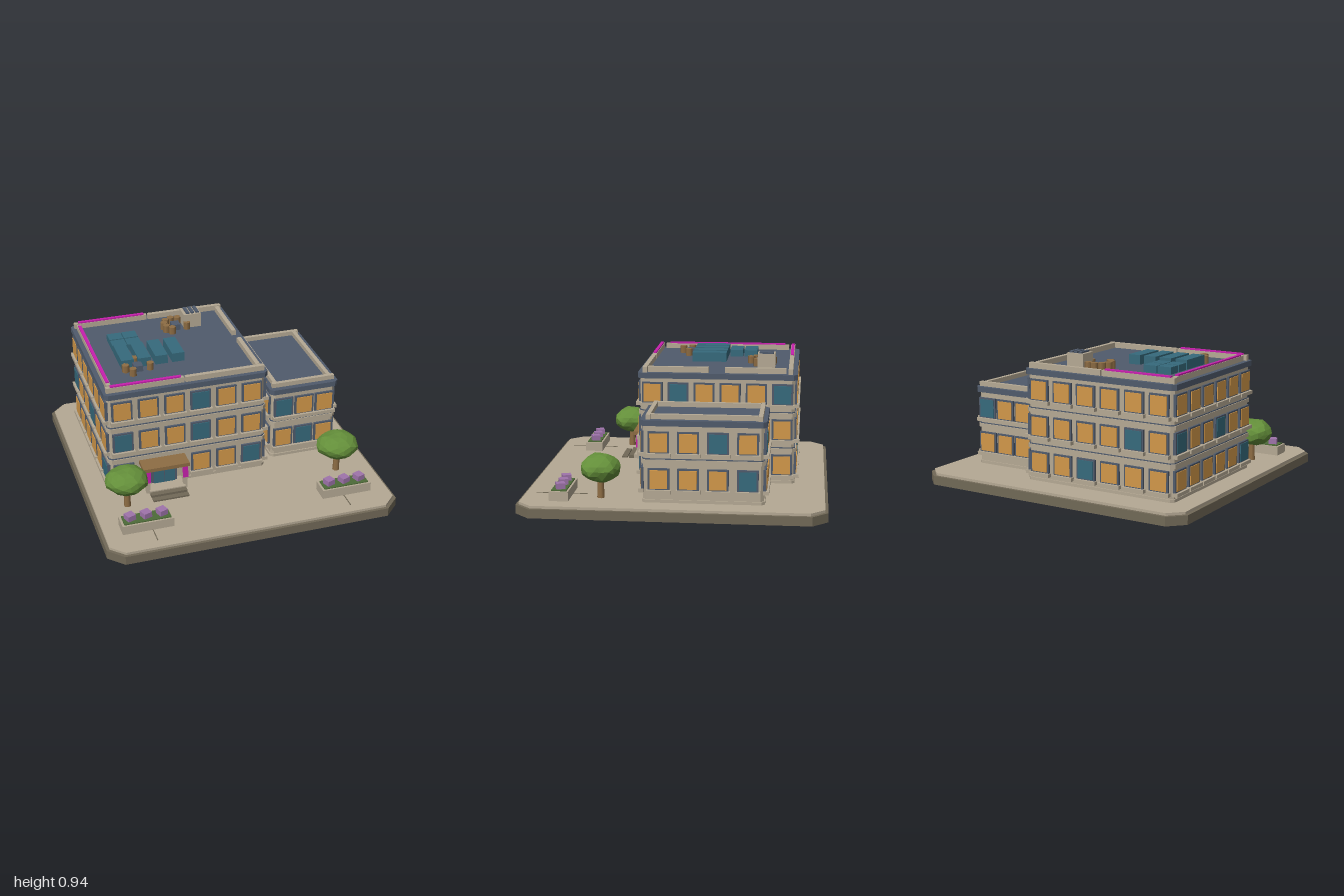
import * as THREE from 'three';

const mat = (name, color, extra = {}) => Object.assign(new THREE.MeshStandardMaterial({ color, ...extra }), { name });

export function createModel() {
  const stone = mat('stone', 0xb5a994), base = mat('dark stone', 0x716957), slate = mat('slate', 0x505b6c);
  const glow = mat('lit glass', 0xd2984a), teal = mat('teal glass', 0x366a7c), pink = mat('magenta trim', 0xc81fae);
  const wood = mat('wood', 0x8e6d44), leaf = mat('foliage', 0x648f3a), hedge = mat('hedge', 0x4d6b38);
  const flower = mat('blossom', 0x9f74ab);
  leaf.flatShading = true;

  const model = new THREE.Group();
  model.name = 'cornerBuilding';

  function add(parent, name, geo, m, x = 0, y = 0, z = 0) {
    const mesh = new THREE.Mesh(geo, m);
    mesh.name = name;
    mesh.position.set(x, y, z);
    parent.add(mesh);
    return mesh;
  }
  // Box given by its extents
  const box = (parent, name, m, x0, x1, y0, y1, z0, z1) =>
    add(parent, name, new THREE.BoxGeometry(x1 - x0, y1 - y0, z1 - z0), m, (x0 + x1) / 2, (y0 + y1) / 2, (z0 + z1) / 2);
  // Upright block with chamfered vertical corners
  function slab(parent, name, m, x0, x1, y0, y1, z0, z1, c) {
    const s = new THREE.Shape([[x0 + c, -z1], [x1 - c, -z1], [x1, -z1 + c], [x1, -z0 - c], [x1 - c, -z0], [x0 + c, -z0], [x0, -z0 - c], [x0, -z1 + c]]
      .map(p => new THREE.Vector2(...p)));
    const g = new THREE.ExtrudeGeometry(s, { depth: y1 - y0, bevelEnabled: false });
    g.rotateX(-Math.PI / 2);
    return add(parent, name, g, m, 0, y0, 0);
  }
  const group = (name, parent = model) => {
    const g = new THREE.Group();
    g.name = name;
    parent.add(g);
    return g;
  };

  // Plaza
  slab(model, 'plinth', base, -1, 1, 0, 0.06, -1, 1, 0.1);
  slab(model, 'paving', stone, -0.98, 0.98, 0.06, 0.077, -0.98, 0.98, 0.09);
  for (const s of [-1, 1]) box(model, 'pavingJoint', base, s * 0.665 - 0.003, s * 0.665 + 0.003, 0.076, 0.08, 0.57, 0.91);

  // One window, facing +z at the group's origin
  function windowUnit(parent, w, m) {
    const g = group('window', parent);
    box(g, 'frame', slate, -w / 2 - 0.013, w / 2 + 0.013, -0.072, 0.072, -0.005, 0.014);
    box(g, 'glass', m, -w / 2, w / 2, -0.061, 0.061, 0.012, 0.019);
    box(g, 'sill', stone, -w / 2 - 0.022, w / 2 + 0.022, -0.092, -0.068, -0.005, 0.032);
    return g;
  }
  // Rows of windows on one wall; T = teal, O = lit, . = none; rows run bottom up, left to right seen from outside
  function facade(parent, x, z, angle, step, w, floors, rows) {
    const wall = group('facade', parent);
    wall.position.set(x, 0, z);
    wall.rotation.y = angle;
    rows.forEach((row, f) => [...row].forEach((k, i) => {
      if (k === '.') return;
      windowUnit(wall, w, k === 'T' ? teal : glow).position.set((i - (row.length - 1) / 2) * step, floors[f], 0);
    }));
  }
  // Wing with walls, floor bands, cornice, roof and windows
  function wing(name, x0, x1, z0, z1, top, bands, floors, stepX, stepZ, w, faces) {
    const g = group(name);
    const cx = (x0 + x1) / 2, cz = (z0 + z1) / 2;
    slab(g, 'walls', stone, x0, x1, 0.077, top - 0.035, z0, z1, 0.02);
    for (const y of bands) {
      slab(g, 'floorBand', stone, x0 - 0.012, x1 + 0.012, y, y + 0.026, z0 - 0.012, z1 + 0.012, 0.025);
      slab(g, 'bandJoint', slate, x0 - 0.006, x1 + 0.006, y + 0.026, y + 0.032, z0 - 0.006, z1 + 0.006, 0.022);
    }
    slab(g, 'foot', stone, x0 - 0.008, x1 + 0.008, 0.077, 0.097, z0 - 0.008, z1 + 0.008, 0.022);
    slab(g, 'cornice', slate, x0 - 0.02, x1 + 0.02, top - 0.037, top, z0 - 0.017, z1 + 0.017, 0.025);
    facade(g, cx, z1, 0, stepX, w, floors, faces.front);
    facade(g, x1, cz, Math.PI / 2, stepZ, w, floors, faces.right);
    facade(g, cx, z0, Math.PI, stepX, w, floors, faces.back);
    facade(g, x0, cz, -Math.PI / 2, stepZ, w, floors, faces.left);
    return g;
  }

  const main = wing('mainWing', -0.82, 0.27, -0.77, 0.27, 0.823, [0.295, 0.537], [0.205, 0.447, 0.687], 0.18, 0.175, 0.115, {
    front: ['O..OOT', 'TOOTOO', 'OOOTOO'],
    right: ['OOTOOO', 'OOOOTO', 'OTOOOT'],
    back: ['OOTOOO', 'OOOOTO', 'OOOOOO'],
    left: ['OOOOOT', 'TOOTOO', 'OOOOOO'],
  });
  const annex = wing('sideWing', 0.36, 0.82, -0.59, 0.185, 0.618, [0.335], [0.232, 0.472], 0.15, 0.19, 0.112, {
    front: ['OTO', 'TOO'],
    right: ['OOOT', 'OOTO'],
    back: ['OOO', 'TOO'],
    left: ['OOTO', 'OOOO'],
  });

  // Parapets
  for (const z of [-0.74, 0.24]) {
    box(main, 'parapet', stone, -0.82, -0.29, 0.82, 0.86, z - 0.015, z + 0.015);
    box(main, 'parapet', stone, -0.28, 0.27, 0.82, 0.86, z - 0.015, z + 0.015);
    box(main, 'parapetLight', pink, -0.79, -0.31, 0.858, 0.87, z - 0.011, z + 0.011);
  }
  box(main, 'parapet', stone, -0.807, -0.777, 0.82, 0.86, -0.71, 0.21);
  box(main, 'parapetLight', pink, -0.803, -0.781, 0.858, 0.87, -0.68, 0.18);
  box(main, 'parapet', stone, 0.22, 0.25, 0.82, 0.86, -0.71, -0.3);
  box(main, 'parapet', stone, 0.22, 0.25, 0.82, 0.86, -0.19, 0.22);
  for (const z of [-0.565, 0.15]) box(annex, 'parapet', stone, 0.365, 0.82, 0.615, 0.65, z - 0.014, z + 0.014);
  for (const x of [0.39, 0.785]) box(annex, 'parapet', stone, x - 0.014, x + 0.014, 0.615, 0.65, -0.55, 0.135);

  // Roof panels
  const roof = group('roofEquipment');
  for (const x of [-0.592, -0.488]) for (const z of [-0.442, -0.338])
    box(roof, 'skylight', teal, x - 0.049, x + 0.049, 0.82, 0.87, z - 0.046, z + 0.046);
  for (let i = 0; i < 4; i++) {
    const x = -0.6 + i * 0.118;
    box(roof, 'roofPanel', teal, x - 0.043, x + 0.043, 0.82, 0.887, -0.28, -0.04);
  }
  // Vent with grille
  box(roof, 'vent', stone, -0.07, 0.055, 0.82, 0.925, -0.63, -0.51);
  for (let i = 0; i < 3; i++) box(roof, 'ventSlot', slate, -0.049 + i * 0.035, -0.026 + i * 0.035, 0.92, 0.936, -0.618, -0.522);
  // Tables ringed by stools, angles in degrees seen from above
  function seating(x, z, r, angles) {
    const g = group('roofSeating', roof);
    box(g, 'table', slate, x - 0.03, x + 0.03, 0.82, 0.865, z - 0.035, z + 0.035);
    for (const a of angles) {
      const t = a * Math.PI / 180;
      const stool = add(g, 'stool', new THREE.CylinderGeometry(0.026, 0.026, 0.055, 6), wood, x + r * Math.cos(t), 0.847, z + r * Math.sin(t));
      stool.rotation.y = -t;
    }
  }
  seating(-0.13, -0.53, 0.082, [20, 120, 155, 190, 225, 260, 295]);
  seating(-0.54, -0.01, 0.085, [12, 125, 175, 270]);

  // Entrance
  const entry = group('entrance');
  box(entry, 'doorFrame', slate, -0.545, -0.365, 0.085, 0.255, 0.26, 0.305);
  box(entry, 'door', teal, -0.528, -0.382, 0.095, 0.245, 0.3, 0.312);
  box(entry, 'doorSplit', slate, -0.457, -0.453, 0.095, 0.245, 0.311, 0.314);
  box(entry, 'canopy', wood, -0.62, -0.3, 0.257, 0.283, 0.265, 0.4);
  box(entry, 'landing', stone, -0.58, -0.33, 0.077, 0.105, 0.27, 0.4);
  box(entry, 'step', base, -0.58, -0.33, 0.077, 0.097, 0.4, 0.44);
  box(entry, 'step', base, -0.58, -0.33, 0.077, 0.088, 0.45, 0.49);
  for (const x of [-0.585, -0.325]) {
    box(entry, 'post', stone, x - 0.014, x + 0.014, 0.077, 0.257, 0.35, 0.378);
    box(entry, 'banner', pink, x - 0.018, x + 0.018, 0.16, 0.255, 0.372, 0.382);
  }

  // Faceted crown, roughened by a smooth rule
  const crown = new THREE.IcosahedronGeometry(1, 2);
  const p = crown.attributes.position, v = new THREE.Vector3();
  for (let i = 0; i < p.count; i++) {
    v.fromBufferAttribute(p, i);
    const k = 0.96 + 0.07 * Math.sin(v.x * 5 + v.y * 3 + 1) * Math.cos(v.z * 5 - v.y * 2);
    p.setXYZ(i, v.x * k * 0.147, v.y * k * 0.097, v.z * k * 0.135);
  }
  crown.computeVertexNormals();
  for (const x of [-0.755, 0.737]) {
    const tree = group('tree');
    tree.position.set(x, 0.077, 0.47);
    add(tree, 'trunk', new THREE.CylinderGeometry(0.018, 0.025, 0.15, 7), wood, 0, 0.075, 0);
    add(tree, 'crown', crown, leaf, 0, 0.2, 0);
  }

  // Planters
  for (const x of [-0.693, 0.687]) {
    const pl = group('planter');
    pl.position.x = x;
    box(pl, 'trough', stone, -0.172, 0.172, 0.077, 0.14, 0.665, 0.79);
    box(pl, 'hedge', hedge, -0.157, 0.157, 0.13, 0.147, 0.678, 0.777);
    for (const dx of [-0.107, 0, 0.107]) {
      const f = add(pl, 'blossom', new THREE.BoxGeometry(0.058, 0.04, 0.058), flower, dx, 0.165, 0.725);
      f.rotation.y = 0.35;
    }
  }
  return model;
}
